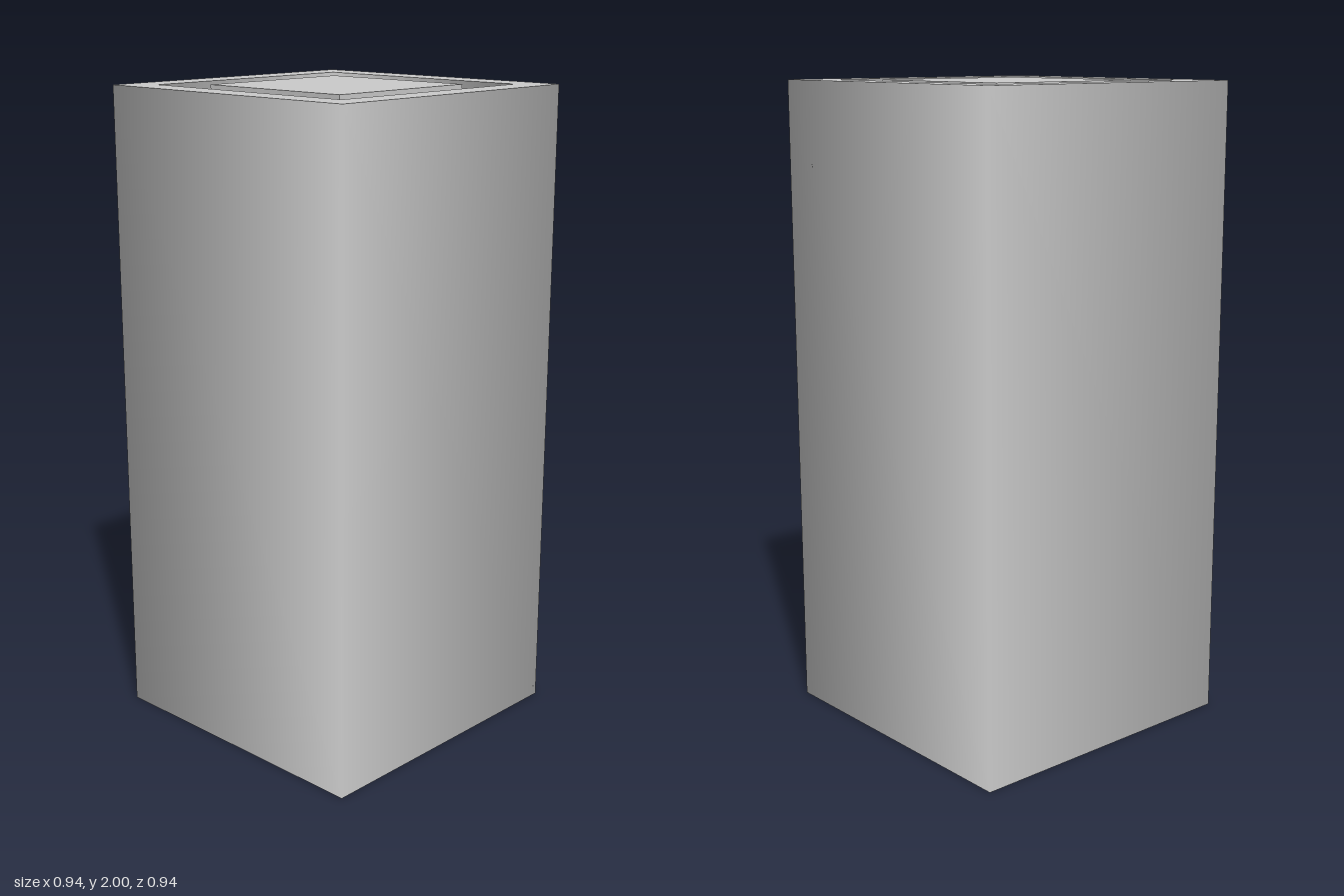
import * as THREE from 'three';

const OUTER = 0.47, INNER = 0.376, HEIGHT = 2, CORE = 0.53;

export function createModel() {
  const model = new THREE.Group();
  const material = new THREE.MeshStandardMaterial({ color: 0xcccccc });

  const add = (name, geometry, parent) => {
    const mesh = new THREE.Mesh(geometry, material);
    mesh.name = name;
    parent.add(mesh);
    return mesh;
  };

  // Four-sided band swept between two [halfWidth, y] points, smooth around its corners
  const band = (...ends) => new THREE.LatheGeometry(
    ends.map(([half, y]) => new THREE.Vector2(half * Math.SQRT2, y)), 4, Math.PI / 4);

  // Square tube, open at both ends; separate bands keep the rims crisp
  const tube = new THREE.Group();
  tube.name = 'squareTube';
  add('outerWall', band([OUTER, 0], [OUTER, HEIGHT]), tube);
  add('topRim', band([OUTER, HEIGHT], [INNER, HEIGHT]), tube);
  add('innerWall', band([INNER, HEIGHT], [INNER, 0]), tube);
  add('bottomRim', band([INNER, 0], [OUTER, 0]), tube);
  model.add(tube);

  // Free-standing core block, flush with the top rim
  const core = add('coreBlock', new THREE.BoxGeometry(CORE, CORE, CORE), model);
  core.position.y = HEIGHT - CORE / 2;

  return model;
}
